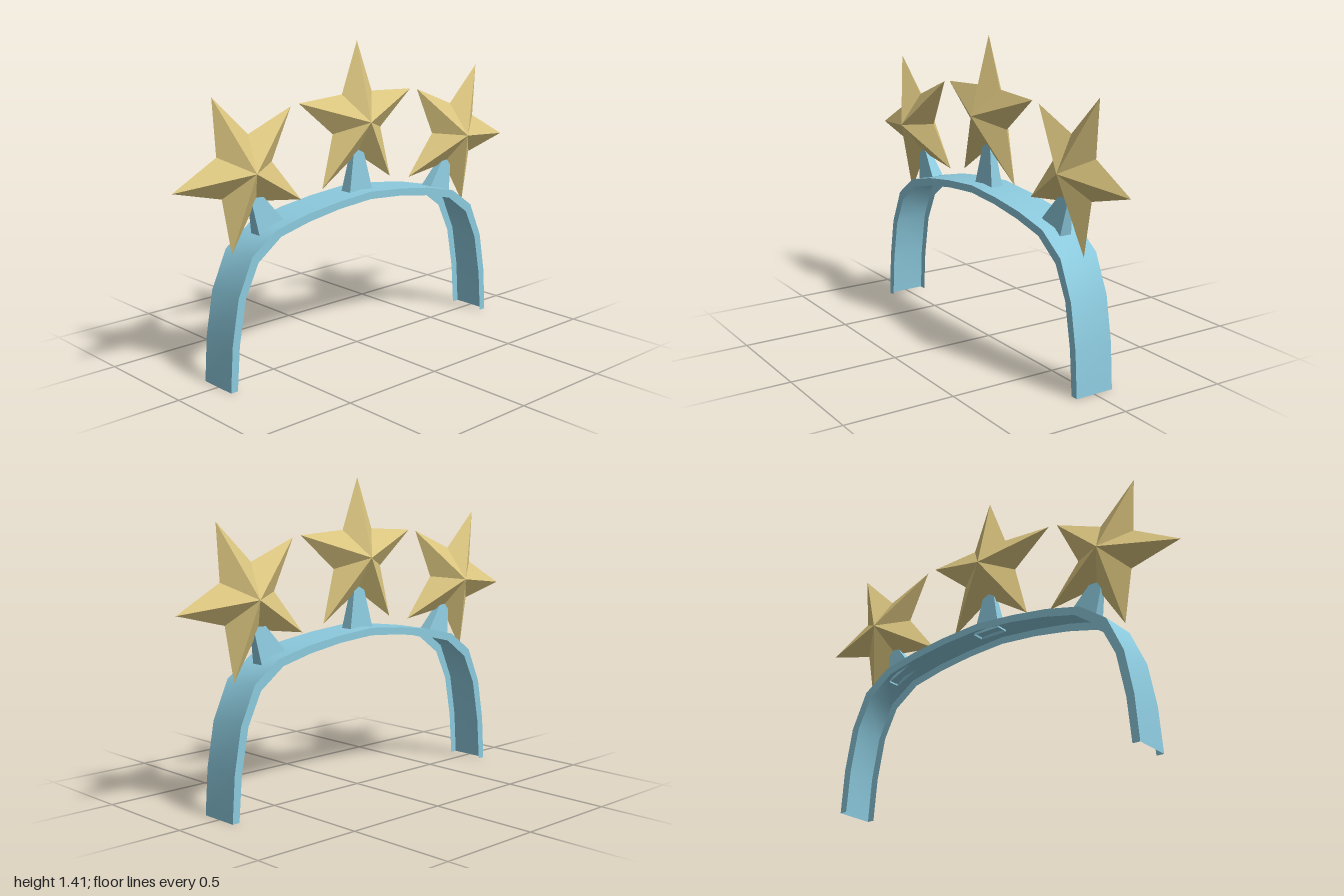
import * as THREE from 'three';

const gold = new THREE.MeshStandardMaterial({ color: 0xdcc680, flatShading: true });
gold.name = 'gold';
const blue = new THREE.MeshStandardMaterial({ color: 0x8ccade, side: THREE.DoubleSide });
blue.name = 'lightBlue';

const HALF_DEPTH = 0.092;

// mirror a half profile (from foot to crown) into a full arch
function arch(half) {
  const right = half.slice(0, -1).reverse().map(([x, y]) => [-x, y]);
  return [...half, ...right].map(([x, y]) => new THREE.Vector2(x, y));
}
const outer = arch([[-0.8, 0], [-0.786, 0.203], [-0.75, 0.4], [-0.674, 0.567],
  [-0.545, 0.658], [-0.374, 0.698], [-0.198, 0.722], [0, 0.738]]);
const inner = arch([[-0.765, 0], [-0.749, 0.198], [-0.711, 0.396], [-0.642, 0.537],
  [-0.519, 0.626], [-0.364, 0.663], [-0.187, 0.69], [0, 0.704]]);

function addMesh(parent, name, geometry, material) {
  const mesh = new THREE.Mesh(geometry, material);
  mesh.name = name;
  parent.add(mesh);
  return mesh;
}

// smooth outer strip of the band
function stripGeometry(points) {
  const pos = [], idx = [];
  points.forEach((p, i) => {
    pos.push(p.x, p.y, HALF_DEPTH, p.x, p.y, -HALF_DEPTH);
    if (i) {
      const a = 2 * i - 2;
      idx.push(a, a + 2, a + 1, a + 1, a + 2, a + 3);
    }
  });
  const g = new THREE.BufferGeometry();
  g.setAttribute('position', new THREE.Float32BufferAttribute(pos, 3));
  g.setIndex(idx);
  g.computeVertexNormals();
  return g;
}

// five-pointed faceted star, ridged on both faces
function starGeometry(R, r, depth) {
  const rim = [];
  for (let i = 0; i < 10; i++) {
    const a = Math.PI / 2 + i * Math.PI / 5, d = i % 2 ? r : R;
    rim.push([d * Math.cos(a), d * Math.sin(a), 0]);
  }
  const pos = [];
  rim.forEach((p, i) => {
    const q = rim[(i + 1) % 10];
    pos.push(...p, ...q, 0, 0, depth, ...q, ...p, 0, 0, -depth);
  });
  const g = new THREE.BufferGeometry();
  g.setAttribute('position', new THREE.Float32BufferAttribute(pos, 3));
  g.computeVertexNormals();
  return g;
}

// hollow tapered post, running from inside the star down through the band
function prongGeometry(base) {
  const top = -0.12, h = top - base;
  const g = new THREE.CylinderGeometry(0.025 * Math.SQRT2, 0.07 * Math.SQRT2, h, 4, 1, true);
  g.rotateY(Math.PI / 4);
  g.scale(1, 1, 0.42);
  g.translate(0, base + h / 2, 0);
  const flat = g.toNonIndexed();
  flat.computeVertexNormals();
  return flat;
}

export function createModel() {
  const model = new THREE.Group();
  model.name = 'starHeadband';

  // channel-shaped headband: outer strip with a lip along each edge
  const band = new THREE.Group();
  band.name = 'headband';
  model.add(band);
  addMesh(band, 'bandStrip', stripGeometry(outer), blue);
  const lip = new THREE.ShapeGeometry(new THREE.Shape([...outer, ...[...inner].reverse()]));
  addMesh(band, 'frontLip', lip, blue).position.z = HALF_DEPTH;
  const back = addMesh(band, 'backLip', lip, blue);
  back.position.z = -HALF_DEPTH;
  back.rotation.y = Math.PI;

  // stars on their prongs, the outer two leaning outwards
  const star = starGeometry(0.355, 0.153, 0.095);
  const places = [['centreStar', 0, 1.053, 0, -0.33],
    ['rightStar', -0.642, 0.914, 0.435, -0.29],
    ['leftStar', 0.642, 0.914, -0.435, -0.29]];
  for (const [name, x, y, lean, base] of places) {
    const group = new THREE.Group();
    group.name = name;
    group.position.set(x, y, 0);
    group.rotation.z = lean;
    addMesh(group, 'star', star, gold);
    addMesh(group, 'prong', prongGeometry(base), blue);
    model.add(group);
  }
  return model;
}
